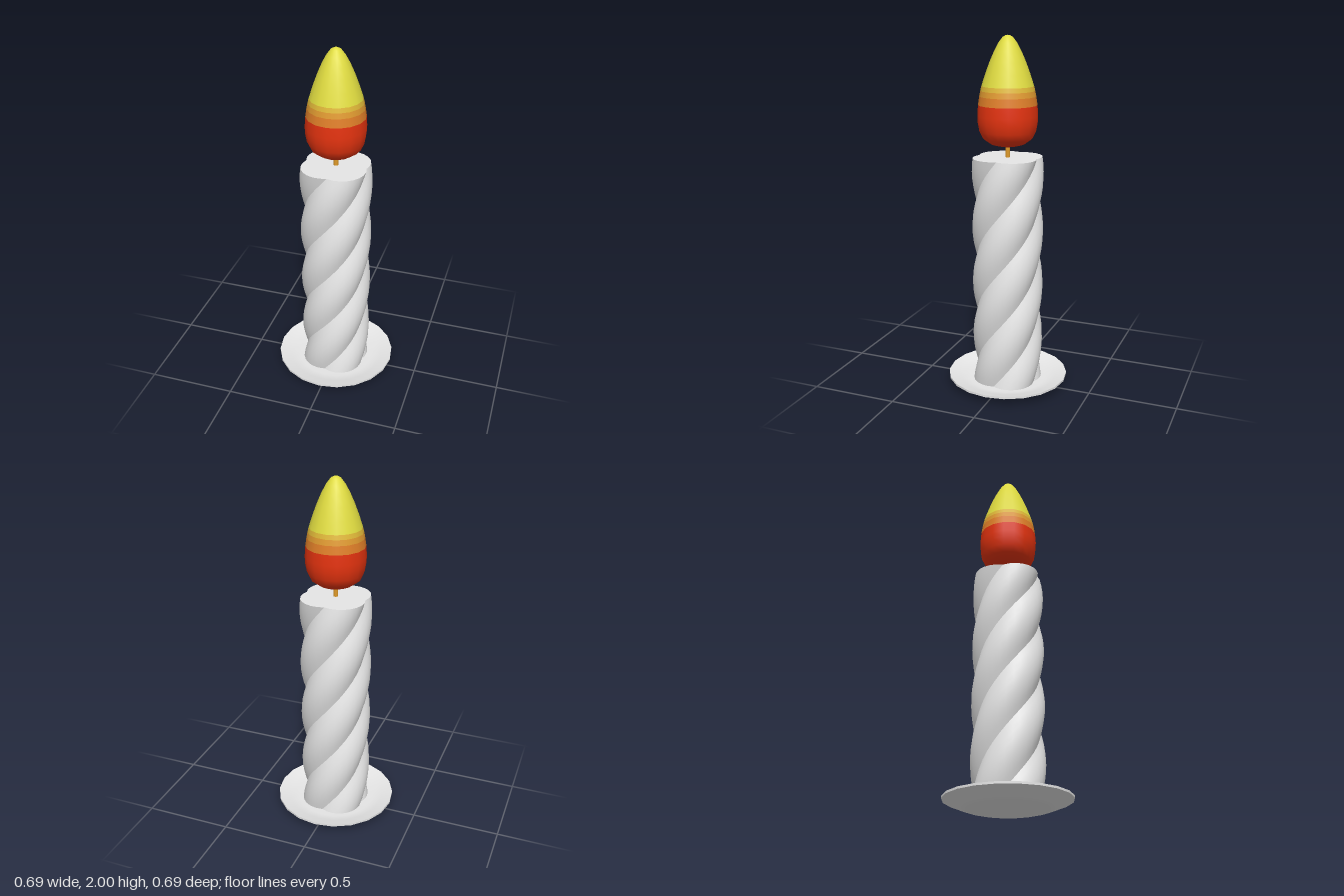
import * as THREE from 'three';

const mat = (name, color, side = THREE.FrontSide) => {
  const m = new THREE.MeshStandardMaterial({ color, side });
  m.name = name;
  return m;
};

export function createModel() {
  const group = new THREE.Group();
  const wax = mat('wax white', 0xe6e6e6, THREE.DoubleSide);
  const red = mat('flame red', 0xe5330f);
  const orange = mat('flame orange', 0xe07f28);
  const amber = mat('flame amber', 0xe09a30);
  const gold = mat('flame gold', 0xe0b838);
  const yellow = mat('flame yellow', 0xe0dc40);
  const wickColor = mat('wick orange', 0xdf9a28);

  const add = (name, geometry, material) => {
    const mesh = new THREE.Mesh(geometry, material);
    mesh.name = name;
    group.add(mesh);
    return mesh;
  };
  const lathe = (points, sides) =>
    new THREE.LatheGeometry(points.map(([r, y]) => new THREE.Vector2(r, y)), sides);

  // Shallow dish: underside, rim band and inner face meet at sharp edges
  add('dishUnderside', lathe([[0, 0], [0.22, 0], [0.25, 0.008], [0.345, 0.046]], 20), wax);
  add('dishRim', lathe([[0.345, 0.046], [0.345, 0.058]], 20), wax);
  add('dishInside', lathe([[0.345, 0.058], [0.28, 0.04], [0.22, 0.025], [0, 0.022]], 20), wax);

  // Candle section: four overlapping circles, twisted one full turn
  const bottom = 0.022, top = 1.34, pitch = 1.29;
  const offset = 0.068, lobeRadius = 0.132, arcSteps = 8, rows = 32;
  const reach = Math.PI / 4 + Math.asin((offset * Math.SQRT1_2) / lobeRadius);
  const sectionPoint = (lobe, t) => {
    const mid = Math.PI / 4 + (lobe * Math.PI) / 2;
    const a = mid + reach * (2 * t - 1);
    return [
      offset * Math.sin(mid) + lobeRadius * Math.sin(a),
      offset * Math.cos(mid) + lobeRadius * Math.cos(a),
    ];
  };
  const twisted = ([x, z], y) => {
    const a = ((y - top) / pitch) * Math.PI * 2;
    return [x * Math.cos(a) + z * Math.sin(a), y, z * Math.cos(a) - x * Math.sin(a)];
  };

  // One spiral strip per lobe, so the valleys between them stay sharp
  const capPoints = [];
  for (let lobe = 0; lobe < 4; lobe++) {
    const positions = [], index = [];
    for (let j = 0; j <= rows; j++) {
      const y = bottom + ((top - bottom) * j) / rows;
      for (let i = 0; i <= arcSteps; i++) {
        positions.push(...twisted(sectionPoint(lobe, i / arcSteps), y));
        if (i < arcSteps && j < rows) {
          const a = j * (arcSteps + 1) + i, b = a + arcSteps + 1;
          index.push(a, a + 1, b, a + 1, b + 1, b);
        }
      }
    }
    const strip = new THREE.BufferGeometry();
    strip.setAttribute('position', new THREE.Float32BufferAttribute(positions, 3));
    strip.setIndex(index);
    strip.computeVertexNormals();
    add('candleTwist' + (lobe + 1), strip, wax);
    for (let i = 0; i < arcSteps; i++) {
      const [x, z] = sectionPoint(lobe, i / arcSteps);
      capPoints.push(new THREE.Vector2(x, -z));
    }
  }

  // Flat candle top
  const cap = new THREE.ShapeGeometry(new THREE.Shape(capPoints));
  cap.rotateX(-Math.PI / 2);
  add('candleTop', cap, wax).position.y = top;

  // Wick
  const wick = new THREE.CylinderGeometry(0.013, 0.013, 0.1, 12);
  add('wick', wick, wickColor).position.y = 1.38;

  // Flame, in colour bands from the base to the tip
  const bands = [
    ['flameBase', red, [[0, 1.4], [0.05, 1.403], [0.095, 1.415], [0.137, 1.445], [0.156, 1.485],
      [0.164, 1.53], [0.166, 1.57], [0.162, 1.628]]],
    ['flameLowBand', orange, [[0.162, 1.628], [0.155, 1.675]]],
    ['flameMidBand', amber, [[0.155, 1.675], [0.149, 1.705]]],
    ['flameHighBand', gold, [[0.149, 1.705], [0.143, 1.73]]],
    ['flameTip', yellow, [[0.143, 1.73], [0.122, 1.795], [0.098, 1.86], [0.074, 1.915],
      [0.05, 1.96], [0.027, 1.99], [0.012, 1.998], [0, 2]]],
  ];
  for (const [name, material, points] of bands) add(name, lathe(points, 16), material);

  return group;
}
